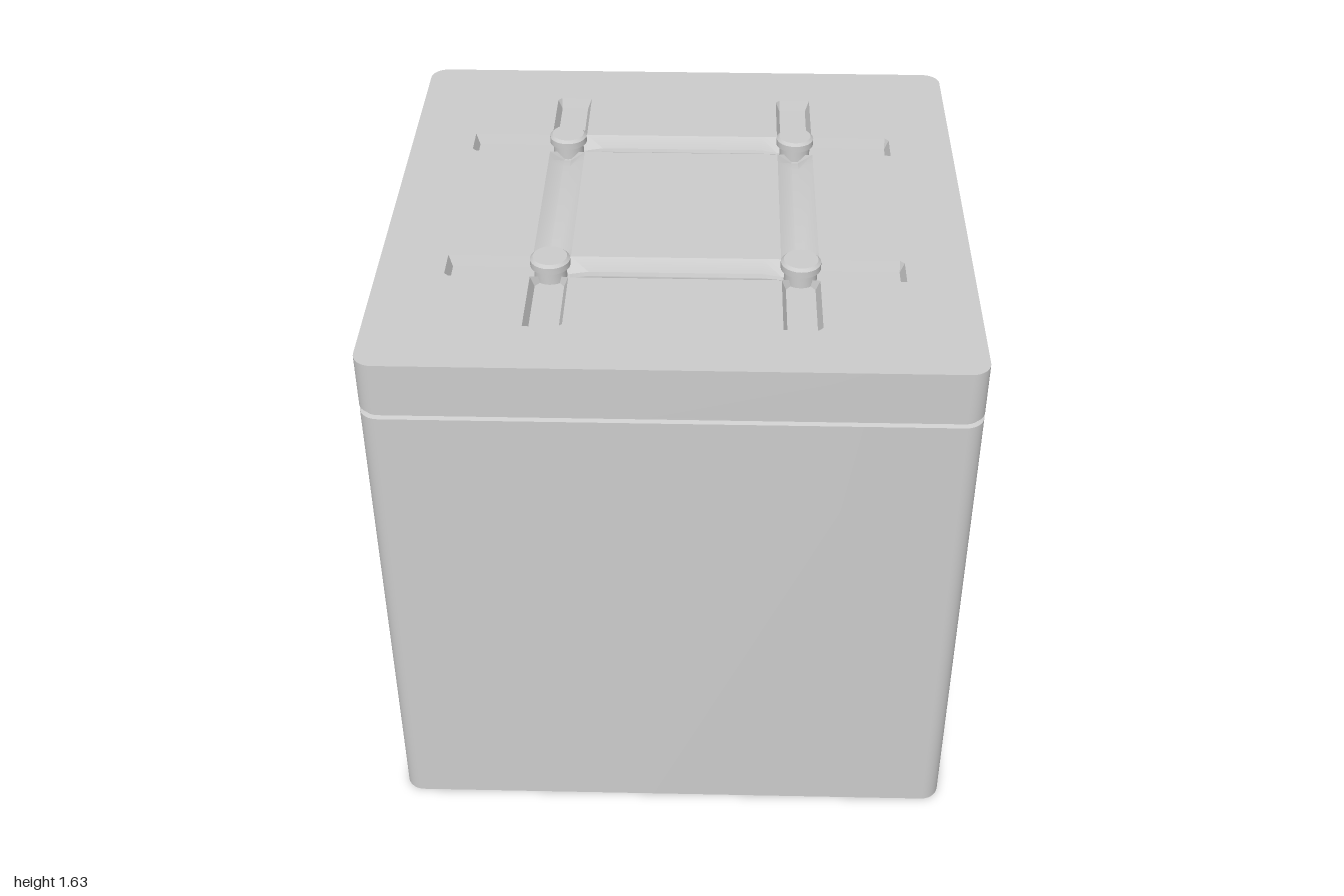
import * as THREE from 'three';
import { toCreasedNormals } from 'three/addons/utils/BufferGeometryUtils.js';

const HALF = 0.81, RADIUS = 0.053, TOP = 1.6;
const STUD = 0.34;              // stud distance from each centre line
const W = 0.052, END = 0.625;   // slot half width, slot end
const DEPTH = 0.03, ARM_FLOOR = 0.04, LINK_FLOOR = 0.01;

const solid = new THREE.MeshStandardMaterial({ color: 0xcccccc });
const sheet = new THREE.MeshStandardMaterial({ color: 0xcccccc, side: THREE.DoubleSide });

function mesh(name, geometry, material = sheet) {
  const m = new THREE.Mesh(geometry, material);
  m.name = name;
  return m;
}

function roundedSquare(half, r) {
  const s = new THREE.Shape(), k = half - r;
  for (let i = 0; i < 4; i++) {
    const a = i * Math.PI / 2;
    const cx = (i === 0 || i === 3 ? k : -k), cy = (i < 2 ? k : -k);
    s.absarc(cx, cy, r, a, a + Math.PI / 2, false);
  }
  s.closePath();
  return s;
}

// Surface through rows of [x, y, z] points
function loft(rows) {
  const n = rows[0].length, index = [];
  for (let i = 0; i < rows.length - 1; i++) {
    for (let j = 0; j < n - 1; j++) {
      const a = i * n + j, b = a + n;
      index.push(a, b, a + 1, a + 1, b, b + 1);
    }
  }
  const g = new THREE.BufferGeometry();
  g.setAttribute('position', new THREE.Float32BufferAttribute(rows.flat(2), 3));
  g.setIndex(index);
  return toCreasedNormals(g, 0.6);
}

// Open wall around the rounded square, from [y, inset] steps
function wall(steps) {
  return loft(steps.map(([y, inset]) => {
    const pts = roundedSquare(HALF - inset, RADIUS - inset).getPoints(5);
    pts.push(pts[0].clone());
    return pts.map(p => [p.x, y, p.y]);
  }));
}

// Channel along x, from [x, depth] stations
function trough(stations, floor) {
  return loft(stations.map(([x, d]) =>
    [[x, 0, W], [x, -d, floor], [x, -d, -floor], [x, 0, -W]]));
}

// Funnel where two channels cross, matching their end sections
function crossing() {
  const a = ARM_FLOOR, b = LINK_FLOOR, d = -DEPTH;
  const ring = [
    [W, 0, -W], [W, d, -a], [W, d, a], [W, 0, W], [a, d, W], [-a, d, W],
    [-W, 0, W], [-W, d, b], [-W, d, -b], [-W, 0, -W], [-b, d, -W], [b, d, -W],
  ];
  ring.push(ring[0]);
  return loft([ring, ring.map(() => [0, d, 0])]);
}

function flat(shape) {
  return new THREE.ShapeGeometry(shape, 5).rotateX(-Math.PI / 2);
}

export function createModel() {
  const model = new THREE.Group();
  model.name = 'box';
  const turned = new THREE.Group();
  turned.name = 'turnedBox';
  turned.rotation.y = THREE.MathUtils.degToRad(17.15);
  model.add(turned);

  // Open-bottomed walls, seam and lid rim
  turned.add(
    mesh('bodyWalls', wall([[0, 0], [1.43, 0]])),
    mesh('lidSeam', wall([[1.43, 0], [1.434, 0.012], [1.444, 0.012], [1.448, 0]])),
    mesh('lidRim', wall([[1.448, 0], [TOP, 0]])),
  );

  // Lid top with the crossed slots cut out, and the panel inside them
  const lo = STUD - W, hi = STUD + W;
  const quarter = [[hi, lo], [END, lo], [END, hi], [hi, hi], [hi, END], [lo, END], [lo, hi]];
  const outline = [];
  for (let i = 0, q = quarter; i < 4; i++, q = q.map(([x, y]) => [-y, x])) {
    outline.push(...q.map(([x, y]) => new THREE.Vector2(x, y)));
  }
  const lid = roundedSquare(HALF, RADIUS);
  lid.holes.push(new THREE.Path(outline));
  const panel = new THREE.Shape([[-lo, -lo], [lo, -lo], [lo, lo], [-lo, lo]]
    .map(([x, y]) => new THREE.Vector2(x, y)));
  const lidTop = mesh('lidTop', flat(lid));
  const centrePanel = mesh('centrePanel', flat(panel));
  lidTop.position.y = centrePanel.position.y = TOP;
  turned.add(lidTop, centrePanel);

  // Shared channel and stud geometries
  const arm = trough([[W, DEPTH], [END - STUD - 0.012, DEPTH], [END - STUD, 0]], ARM_FLOOR);
  const link = trough([[-lo, DEPTH], [-lo + 0.05, 0.022], [lo - 0.05, 0.022], [lo, DEPTH]], LINK_FLOOR);
  const funnel = crossing();
  const stud = toCreasedNormals(new THREE.LatheGeometry(
    [[0.045, -0.04], [0.045, 0.004], [0.055, 0.008], [0.055, 0.027], [0.047, 0.035], [0, 0.035]]
      .map(([x, y]) => new THREE.Vector2(x, y)), 24), 0.6);

  // One corner set, repeated around the lid
  for (let i = 0; i < 4; i++) {
    const corner = new THREE.Group();
    corner.name = 'lidCorner';
    corner.position.y = TOP;
    corner.rotation.y = i * Math.PI / 2;
    const armX = mesh('slotArm', arm);
    const armZ = mesh('slotArm', arm);
    armZ.rotation.y = -Math.PI / 2;
    const parts = [armX, armZ, mesh('slotCrossing', funnel), mesh('stud', stud, solid)];
    parts.forEach(p => p.position.set(STUD, 0, STUD));
    const channel = mesh('linkChannel', link);
    channel.position.z = STUD;
    corner.add(...parts, channel);
    turned.add(corner);
  }
  return model;
}
